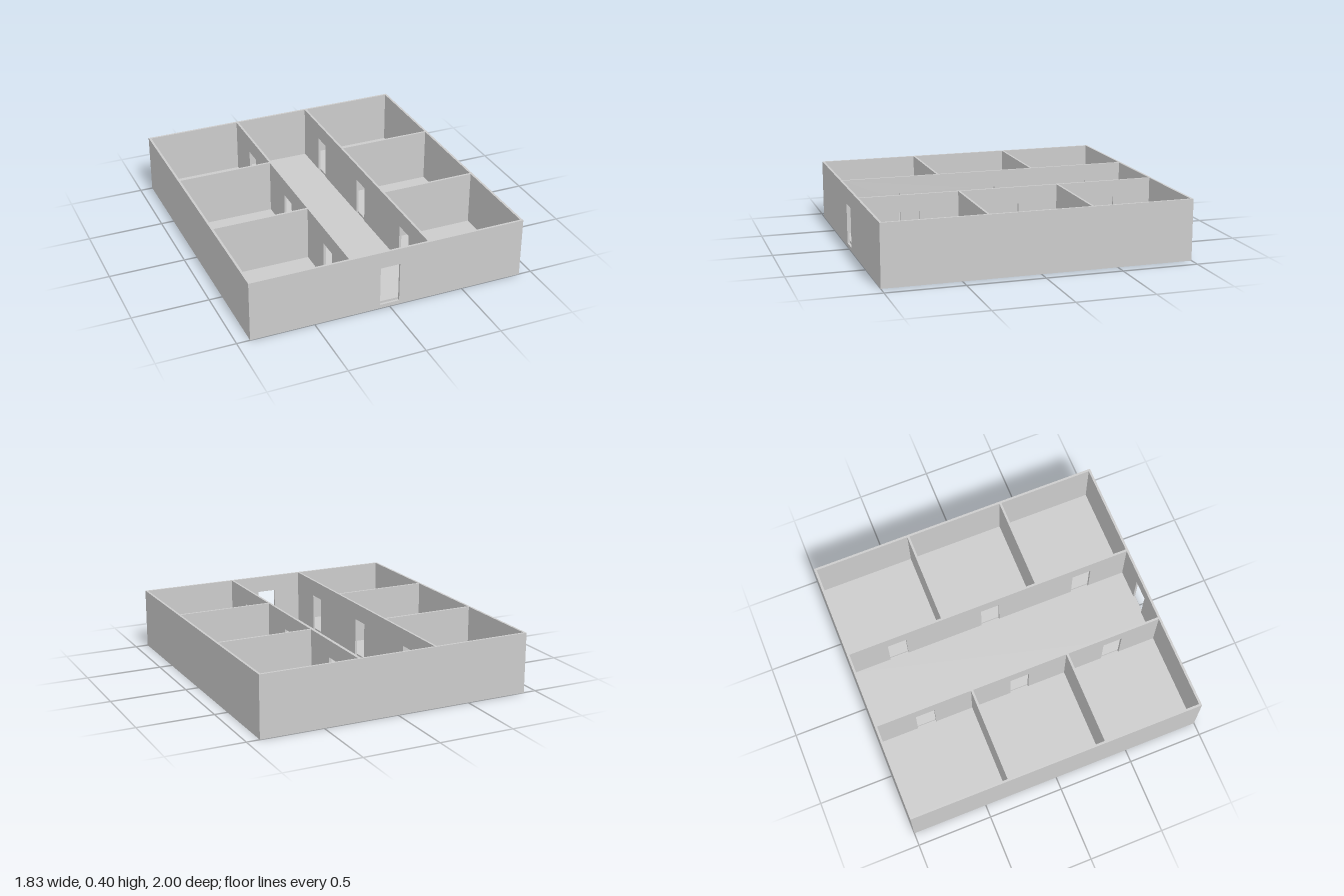
import * as THREE from 'three';

const W = 1.83, L = 2, H = 0.4;        // overall width, length, height
const T = 0.015;                       // wall thickness
const BASE = 0.025, FLOOR = 0.015;     // slab and floor panel thickness
const DOOR_W = 0.13, DOOR_TOP = 0.29;
const CORRIDOR = 0.255;                // half width of the corridor
const PART = 1 / 3;                    // z of the room partitions

export function createModel() {
  const group = new THREE.Group();
  const material = new THREE.MeshStandardMaterial({ color: 0xcccccc, flatShading: true });

  const add = (name, geometry, x, y, z) => {
    const mesh = new THREE.Mesh(geometry, material);
    mesh.name = name;
    mesh.position.set(x, y, z);
    group.add(mesh);
    return mesh;
  };
  const box = (name, w, h, d, x, y, z) =>
    add(name, new THREE.BoxGeometry(w, h, d), x, y + h / 2, z);

  // Wall standing on the slab, with doorways notched out at the given offsets
  const wall = (name, length, doors, x, z, alongZ = false) => {
    const s = new THREE.Shape();
    const h = H - BASE, top = DOOR_TOP - BASE;
    s.moveTo(-length / 2, 0);
    for (const c of doors) {
      s.lineTo(c - DOOR_W / 2, 0);
      s.lineTo(c - DOOR_W / 2, top);
      s.lineTo(c + DOOR_W / 2, top);
      s.lineTo(c + DOOR_W / 2, 0);
    }
    s.lineTo(length / 2, 0);
    s.lineTo(length / 2, h);
    s.lineTo(-length / 2, h);
    const g = new THREE.ExtrudeGeometry(s, { depth: T, bevelEnabled: false });
    g.translate(0, 0, -T / 2);
    if (alongZ) g.rotateY(-Math.PI / 2);
    add(name, g, x, BASE, z);
  };

  box('baseSlab', W, BASE, L, 0, 0, 0);

  // Outer walls
  wall('frontWall', W - 2 * T, [0], 0, L / 2 - T / 2);
  wall('backWall', W - 2 * T, [], 0, -L / 2 + T / 2);

  // Corridor floor
  const innerL = L - 2 * T;
  box('corridorFloor', 2 * CORRIDOR, FLOOR, innerL, 0, BASE, 0);

  const x0 = CORRIDOR + T, x1 = W / 2 - T;   // inner and outer side of the rooms
  const roomX = (x0 + x1) / 2, roomW = x1 - x0;
  const edges = [-L / 2 + T / 2, -PART, PART, L / 2 - T / 2];
  const centres = [0, 1, 2].map(i => (edges[i] + edges[i + 1]) / 2);

  for (const side of [-1, 1]) {
    const label = side > 0 ? 'left' : 'right';
    wall(label + 'SideWall', L, [], side * (W / 2 - T / 2), 0, true);
    wall(label + 'CorridorWall', innerL, centres, side * (CORRIDOR + T / 2), 0, true);

    // Partitions between the rooms
    for (const z of [-PART, PART])
      wall(label + 'Partition', roomW, [], side * roomX, z);

    // One floor panel per room
    centres.forEach((z, i) =>
      box(label + 'RoomFloor' + (i + 1), roomW, FLOOR, edges[i + 1] - edges[i] - T, side * roomX, BASE, z));
  }
  return group;
}
